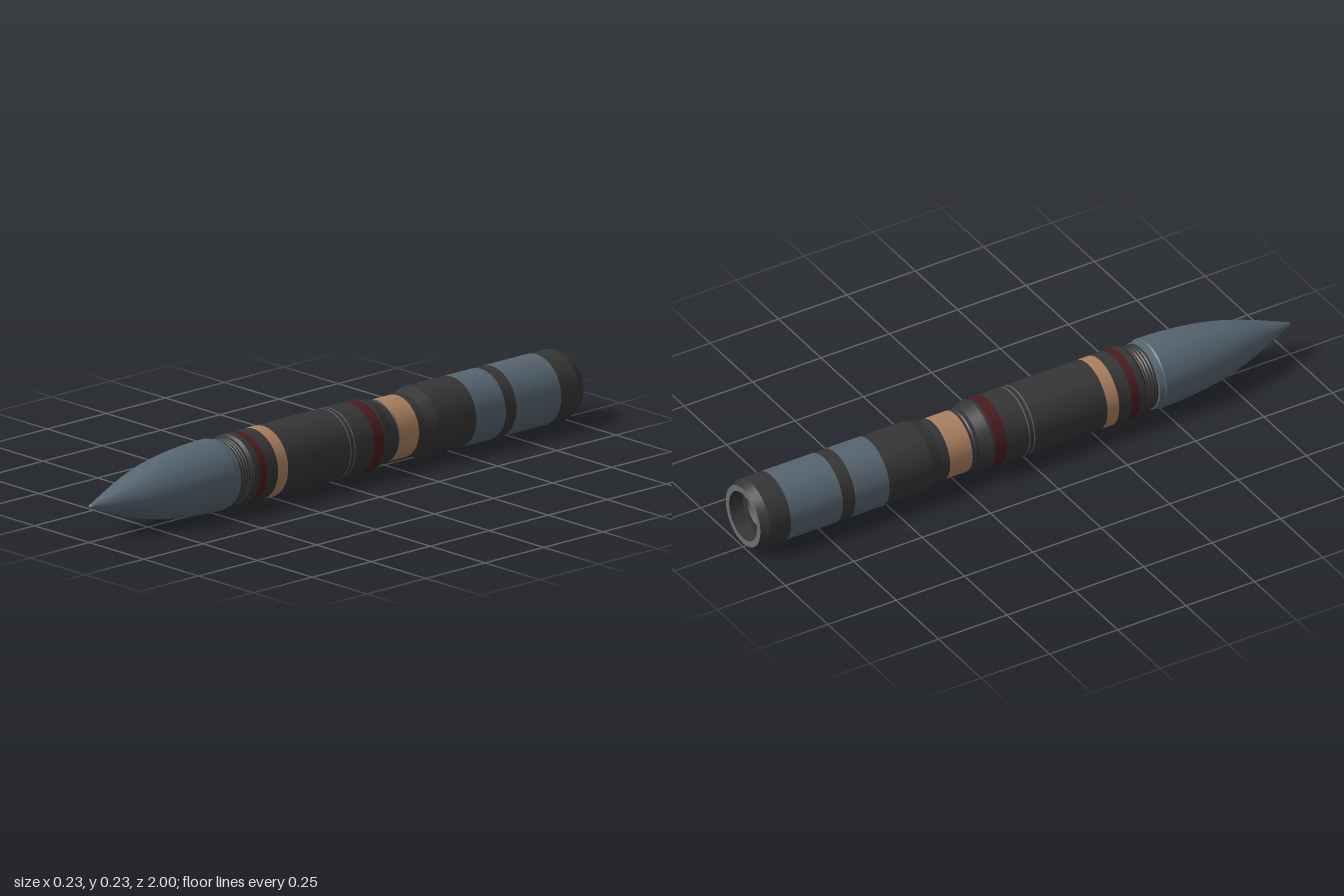
import * as THREE from 'three';

const mat = (name, color, side = THREE.FrontSide) => {
  const m = new THREE.MeshStandardMaterial({ color, side });
  m.name = name;
  return m;
};

export function createModel() {
  const model = new THREE.Group();
  model.name = 'flashlight';
  const R = 0.114, AXIS_Y = 0.115;
  const dark = mat('charcoal', 0x363636);
  const slate = mat('slate', 0x566570);
  const tan = mat('tan', 0xac8060);
  const red = mat('deepRed', 0x4a1c1e);
  const grey = mat('grey', 0x6a6c6e);
  const blue = mat('lensBlue', 0x7fb0dd);

  // Lathe around the z axis; points are [radius, z], rising z faces outward
  const lathe = (name, material, pts, parent = model) => {
    const g = new THREE.LatheGeometry(pts.map(([r, z]) => new THREE.Vector2(r, z)), 64);
    g.rotateX(Math.PI / 2);
    const mesh = new THREE.Mesh(g, material);
    mesh.name = name;
    if (parent === model) mesh.position.y = AXIS_Y;
    parent.add(mesh);
    return mesh;
  };

  // Hard-edged part: one lathe for each profile segment
  const hard = (name, material, pts) => {
    const group = new THREE.Group();
    group.name = name;
    group.position.y = AXIS_Y;
    for (let i = 1; i < pts.length; i++) lathe(name + i, material, [pts[i - 1], pts[i]], group);
    model.add(group);
  };
  const band = (name, material, z0, z1, r = R) => lathe(name, material, [[r, z0], [r, z1]]);

  // Tail cap with bevelled rim and recessed lens
  hard('tailCap', dark, [[0.102, -1], [R, -0.97], [R, -0.895]]);
  hard('tailRim', grey, [[0.082, -1], [0.102, -1]]);
  hard('tailBore', dark, [[0.052, -0.95], [0.08, -0.95], [0.082, -1]]);
  hard('lensSeat', grey, [[0.049, -0.935], [0.052, -0.95]]);
  lathe('lens', blue, [[0, -0.938], [0.03, -0.937], [0.049, -0.935]]);

  // Rear barrel bands
  band('rearSleeve', slate, -0.895, -0.705);
  band('rearStripe', dark, -0.705, -0.66);
  band('midSleeve', slate, -0.66, -0.535);
  hard('rearBarrel', dark, [[R, -0.535], [R, -0.375], [0.1, -0.333], [0.1, -0.305]]);

  // Waist
  band('waist', tan, -0.305, -0.222, 0.1);
  hard('waistCollar', dark, [[0.1, -0.222], [0.097, -0.218], [0.097, -0.212], [0.1, -0.208],
    [0.1, -0.195], [R, -0.155], [R, -0.145]]);

  // Front barrel: alternating colour bands and fine rings
  const bands = [
    ['rearRedBand', red, -0.145, -0.105], ['gripRear', dark, -0.105, -0.024],
    ['thinRing', grey, -0.024, -0.02], ['ringGap', dark, -0.02, -0.006],
    ['thinRing', grey, -0.006, -0.002], ['grip', dark, -0.002, 0.262],
    ['tanBand', tan, 0.262, 0.305], ['frontGap', dark, 0.305, 0.352],
    ['frontRedBand', red, 0.352, 0.38],
  ];
  for (const [name, material, z0, z1] of bands) band(name, material, z0, z1);
  hard('frontLip', dark, [[R, 0.38], [R, 0.402], [0.107, 0.412], [0.103, 0.412]]);

  // Threaded neck
  const thread = [[0.103, 0.412]];
  for (let i = 0; i < 4; i++) {
    const z = 0.413 + i * 0.011;
    thread.push([0.106, z + 0.002], [0.106, z + 0.007], [0.103, z + 0.009]);
  }
  hard('neck', dark, thread);

  // Nose cone
  hard('noseCollar', slate, [[0.103, 0.455], [0.109, 0.457], [0.112, 0.475], [0.115, 0.48]]);
  const nose = new THREE.SplineCurve([
    [0.115, 0.48], [0.1135, 0.54], [0.108, 0.62], [0.094, 0.72], [0.072, 0.81], [0.042, 0.9], [0.008, 0.99],
  ].map(([r, z]) => new THREE.Vector2(r, z)));
  lathe('noseCone', slate, nose.getPoints(28).map(p => [p.x, p.y]));
  lathe('noseTip', grey, [[0.008, 0.99], [0.006, 0.997], [0, 1]]);

  return model;
}
